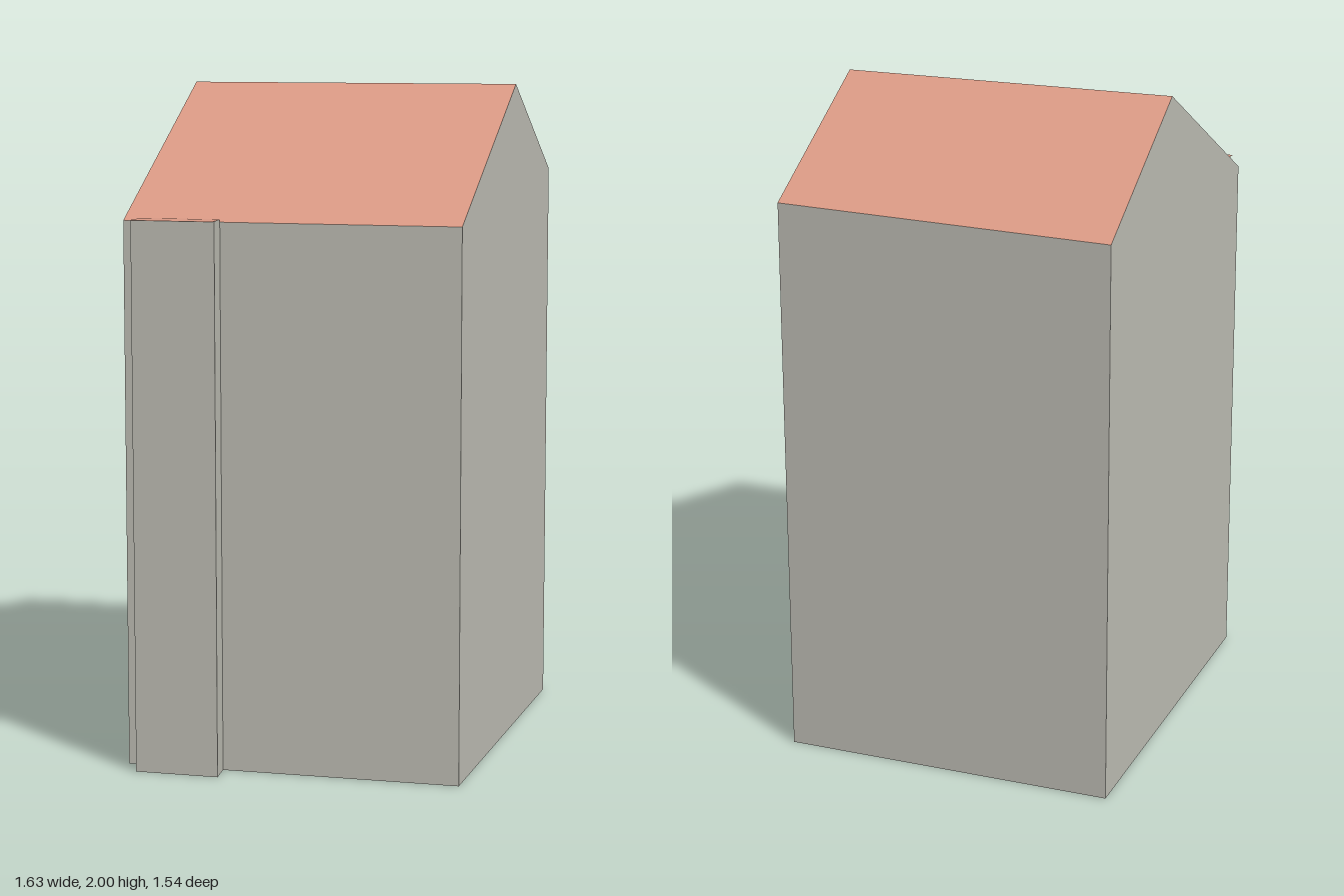
import * as THREE from 'three';

// Flat convex polygons (corners counter-clockwise from outside) joined into one mesh
function polygonMesh(name, material, polygons) {
  const positions = [];
  for (const p of polygons) {
    for (let i = 1; i < p.length - 1; i++) positions.push(...p[0], ...p[i], ...p[i + 1]);
  }
  const geometry = new THREE.BufferGeometry();
  geometry.setAttribute('position', new THREE.Float32BufferAttribute(positions, 3));
  geometry.computeVertexNormals();
  const mesh = new THREE.Mesh(geometry, material);
  mesh.name = name;
  return mesh;
}

const at = ([x, z], y) => [x, y, z];

export function createModel() {
  const wall = new THREE.MeshStandardMaterial({ color: 0xc0bfb6 });
  wall.name = 'grey wall';
  const tile = new THREE.MeshStandardMaterial({ color: 0xdb9a85, side: THREE.DoubleSide });
  tile.name = 'red roof';

  const model = new THREE.Group();
  model.name = 'house';

  // House footprint, eave heights and ridge ends
  const plan = [[-0.14, 0.77], [0.815, 0.04], [0.197, -0.77], [-0.77, -0.01]];
  const eaves = [1.62, 1.717, 1.70, 1.62];
  const base = plan.map((p) => at(p, 0));
  const top = plan.map((p, i) => at(p, eaves[i]));
  const ridgeFront = [0.412, 2, 0.348];
  const ridgeBack = [-0.222, 2, -0.44];

  model.add(polygonMesh('gableWalls', wall, [
    [base[0], base[1], top[1], ridgeFront, top[0]],
    [base[2], base[3], top[3], ridgeBack, top[2]],
  ]));
  model.add(polygonMesh('sideWalls', wall, [
    [base[1], base[2], top[2], top[1]],
    [base[3], base[0], top[0], top[3]],
  ]));
  model.add(polygonMesh('floor', wall, [[...base].reverse()]));
  model.add(polygonMesh('roof', tile, [
    [top[1], top[2], ridgeBack, ridgeFront],
    [top[3], top[0], ridgeFront, ridgeBack],
  ]));

  // Narrow annex against the left side wall
  const annex = [[-0.802, 0.078], [-0.645, 0.273], [-0.587, 0.217], [-0.735, 0.033]];
  const h = 1.628;
  const annexWalls = annex.map((p, i) => {
    const q = annex[(i + 1) % 4];
    return [at(p, 0), at(q, 0), at(q, h), at(p, h)];
  });
  model.add(polygonMesh('annexWalls', wall, annexWalls));
  model.add(polygonMesh('annexFloor', wall, [annex.map((p) => at(p, 0)).reverse()]));

  // Flat annex roof, overhanging the outer wall
  const cap = [[-0.818, 0.09], [-0.66, 0.285], annex[2], annex[3]];
  model.add(polygonMesh('annexRoof', tile, [cap.map((p) => at(p, h))]));

  return model;
}
